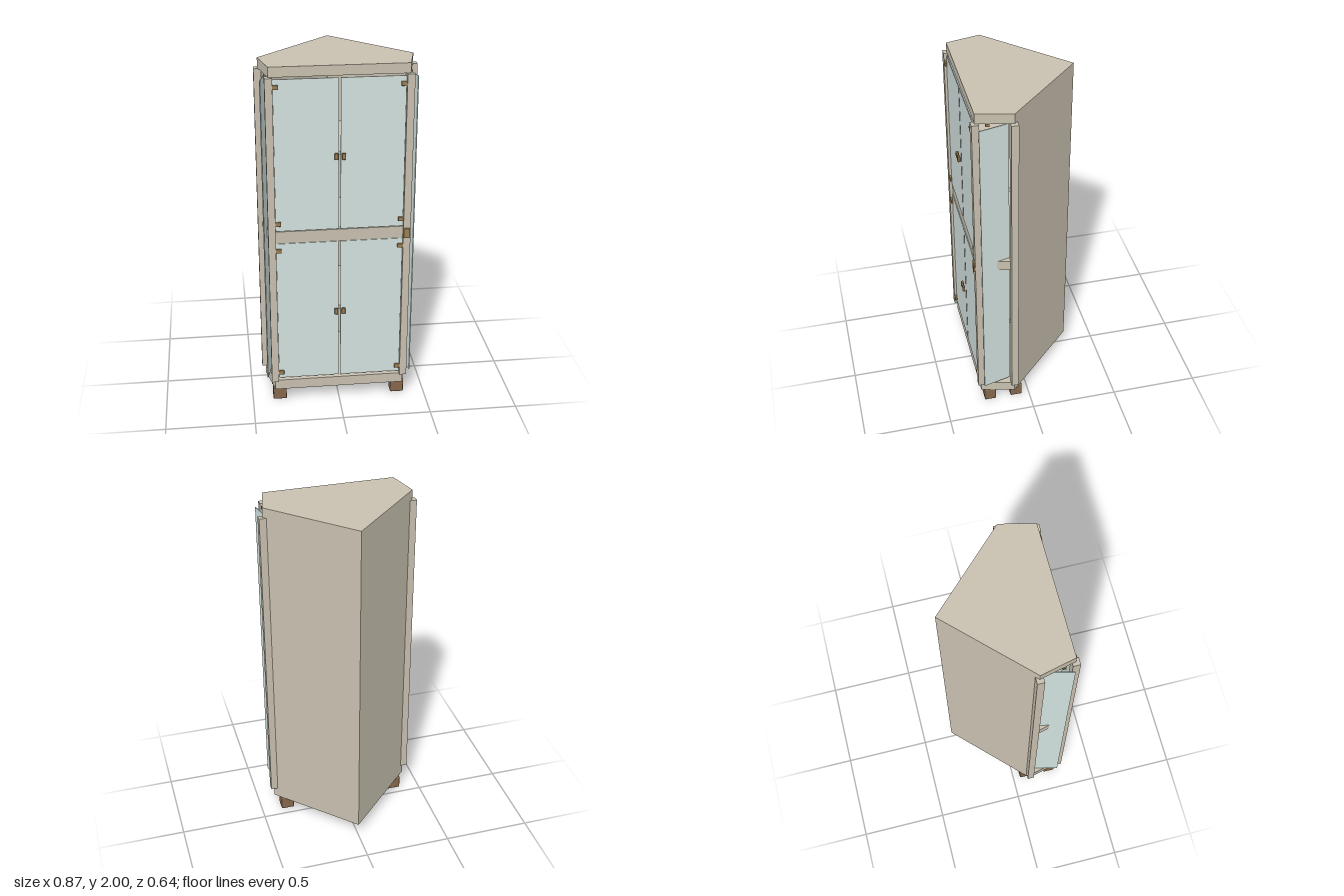
import * as THREE from 'three';
import { RoundedBoxGeometry } from 'three/addons/geometries/RoundedBoxGeometry.js';

const paint = (color) => new THREE.MeshStandardMaterial({ color });

export function createModel() {
  const model = new THREE.Group();
  const wood = paint(0xc9c1b0);
  const glass = paint(0xd2e2df);
  const footWood = paint(0x86684c);
  const brass = paint(0x9c8050);

  const add = (name, geometry, material) => {
    const mesh = new THREE.Mesh(geometry, material);
    mesh.name = name;
    model.add(mesh);
    return mesh;
  };

  // Box given by its minimum and maximum corner; a radius rounds its edges
  const box = (name, [x0, y0, z0], [x1, y1, z1], material, radius = 0) => {
    const size = [x1 - x0, y1 - y0, z1 - z0];
    const geometry = radius
      ? new RoundedBoxGeometry(...size, 2, radius)
      : new THREE.BoxGeometry(...size);
    add(name, geometry, material)
      .position.set((x0 + x1) / 2, (y0 + y1) / 2, (z0 + z1) / 2);
  };

  // Same box on either side of the centre plane
  const pair = (name, [x0, y0, z0], [x1, y1, z1], material, radius) => {
    box(name + 'Left', [x0, y0, z0], [x1, y1, z1], material, radius);
    box(name + 'Right', [-x1, y0, z0], [-x0, y1, z1], material, radius);
  };

  // Upright prism over a plan outline of [x, z] points
  const slab = (name, outline, y0, y1, material) => {
    const shape = new THREE.Shape(outline.map(([x, z]) => new THREE.Vector2(x, -z)));
    const geometry = new THREE.ExtrudeGeometry(shape, { depth: y1 - y0, bevelEnabled: false });
    geometry.rotateX(-Math.PI / 2).translate(0, y0, 0);
    add(name, geometry, material);
  };

  // Base and top share the five-sided corner plan
  const plan = [[0, -0.32], [0.415, 0.095], [0.37, 0.287], [-0.37, 0.287], [-0.415, 0.095]];
  slab('base', plan, 0.08, 0.14, wood);
  slab('top', plan, 1.945, 2, wood);

  // Two back walls meeting at a right angle
  slab('backWalls', [
    [0, -0.32], [0.415, 0.095], [0.4, 0.11], [0, -0.29], [-0.4, 0.11], [-0.415, 0.095],
  ], 0.14, 1.945, wood);

  // Inner shelves
  const shelfPlan = [[0, -0.29], [0.37, 0.08], [0.345, 0.27], [-0.345, 0.27], [-0.37, 0.08]];
  for (const y of [0.59, 1.04, 1.515]) slab('shelf', shelfPlan, y - 0.01, y + 0.01, wood);

  // Corner posts
  pair('frontPost', [0.35, 0.14, 0.267], [0.39, 1.945, 0.306], wood);
  pair('rearPost', [0.395, 0.14, 0.077], [0.436, 1.945, 0.116], wood);

  // Middle rails
  box('frontRail', [-0.35, 1.01, 0.255], [0.35, 1.08, 0.288], wood);
  for (const s of [1, -1]) {
    const side = s > 0 ? 'Left' : 'Right';
    slab('sideRail' + side,
      [[s * 0.412, 0.108], [s * 0.373, 0.275], [s * 0.345, 0.268], [s * 0.384, 0.101]],
      1.01, 1.07, wood);

    // Side door standing slightly open, hinged at the rear post
    slab('sideDoor' + side,
      [[s * 0.371, 0.116], [s * 0.41, 0.275], [s * 0.415, 0.274], [s * 0.376, 0.115]],
      0.155, 1.925, glass);
  }
  pair('sideCatchTop', [0.375, 1.93, 0.215], [0.39, 1.945, 0.235], brass);
  pair('sideCatchBottom', [0.375, 0.14, 0.215], [0.39, 0.15, 0.235], brass);

  // Front doors with handles and hinges, lower and upper
  for (const [y0, y1, handleY, hinges] of [
    [0.16, 1.01, 0.585, [0.2, 0.97]],
    [1.085, 1.935, 1.51, [1.13, 1.895]],
  ]) {
    pair('frontDoor', [0.005, y0, 0.287], [0.348, y1, 0.292], glass);
    pair('handle', [0.01, handleY - 0.018, 0.302], [0.031, handleY + 0.018, 0.317], brass, 0.004);
    for (const y of hinges) {
      pair('hinge', [0.319, y - 0.012, 0.294], [0.351, y + 0.012, 0.306], brass, 0.003);
    }
  }

  // Lock plate on one front post
  box('lock', [0.35, 1.018, 0.303], [0.386, 1.075, 0.315], brass, 0.003);

  // Feet
  pair('frontFoot', [0.305, 0, 0.2], [0.382, 0.08, 0.268], footWood, 0.006);
  pair('rearFoot', [0.305, 0, 0.043], [0.382, 0.08, 0.112], footWood, 0.006);

  return model;
}
